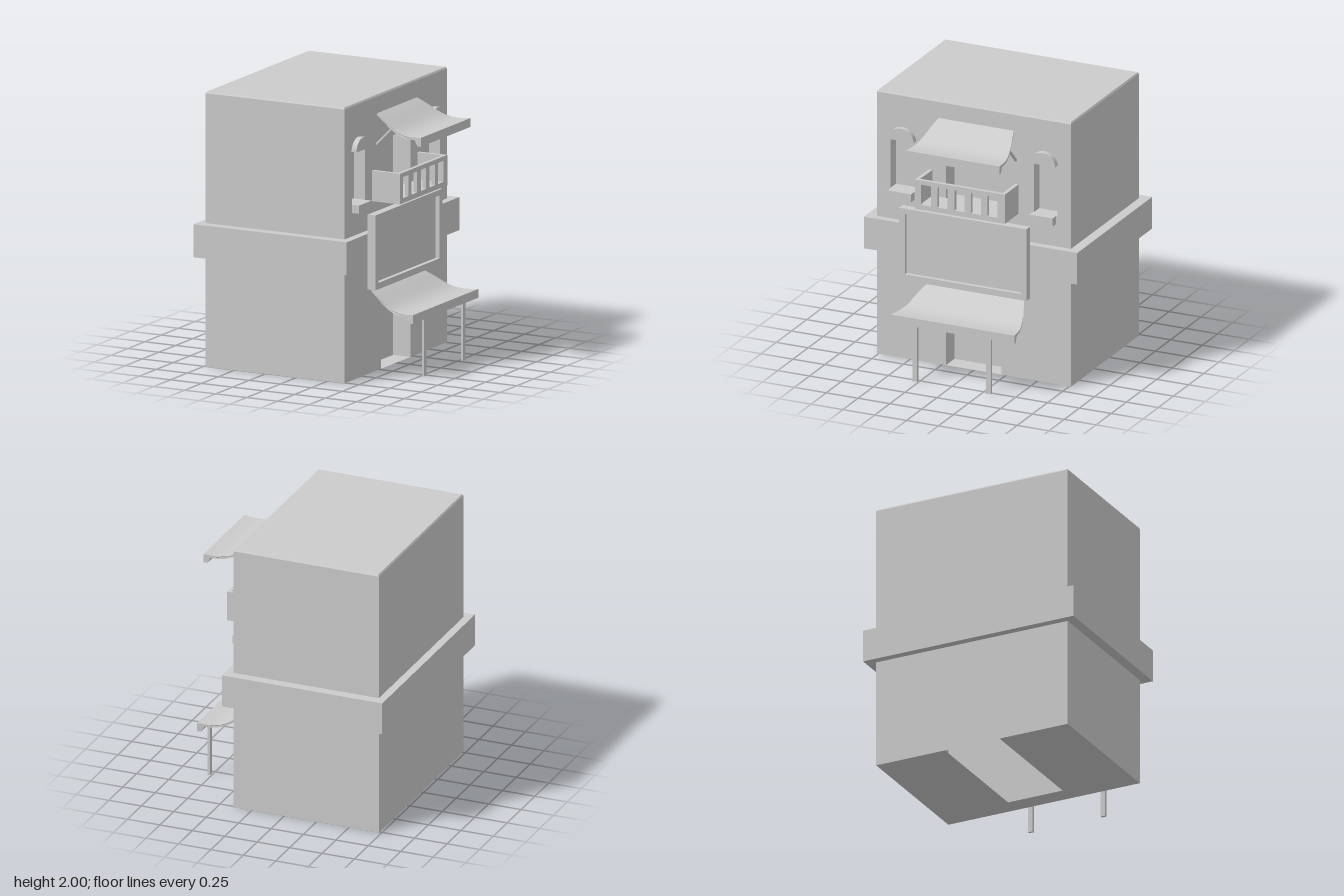
import * as THREE from 'three';
import { toCreasedNormals } from 'three/addons/utils/BufferGeometryUtils.js';

const X0 = -0.73, X1 = 0.39, HZ = 0.763, TOP = 1.988; // house extents
const grey = new THREE.MeshStandardMaterial({ color: 0xcccccc, side: THREE.DoubleSide });

function add(parent, name, geo) {
  const mesh = new THREE.Mesh(geo, grey);
  mesh.name = name;
  parent.add(mesh);
  return mesh;
}

// Box given by its limits on each axis
function box(parent, name, x0, x1, y0, y1, z0, z1) {
  const mesh = add(parent, name, new THREE.BoxGeometry(x1 - x0, y1 - y0, z1 - z0));
  mesh.position.set((x0 + x1) / 2, (y0 + y1) / 2, (z0 + z1) / 2);
  return mesh;
}

// Closed rectangle as a path
function rect(path, x0, x1, y0, y1) {
  path.moveTo(x0, y0);
  path.lineTo(x1, y0);
  path.lineTo(x1, y1);
  path.lineTo(x0, y1);
  path.closePath();
  return path;
}

// Niche behind the facade: a box without its front
function recess(parent, name, depth, y0, y1, z0, z1) {
  const mesh = box(parent, name, X1 - depth, X1, y0, y1, z0, z1);
  mesh.geometry.setIndex(Array.from(mesh.geometry.index.array).slice(6));
  mesh.geometry.clearGroups();
}

// Panel facing +x with rectangular holes; limits are [z0, z1, y0, y1]
function panel(parent, name, x0, x1, outer, holes) {
  const shape = rect(new THREE.Shape(), -outer[1], -outer[0], outer[2], outer[3]);
  for (const h of holes) shape.holes.push(rect(new THREE.Path(), -h[1], -h[0], h[2], h[3]));
  const geo = new THREE.ExtrudeGeometry(shape, { depth: x1 - x0, bevelEnabled: false });
  geo.rotateY(Math.PI / 2);
  add(parent, name, geo).position.x = x0;
}

// Sagging canopy with a front lip, flaring outward; widths are [x, half width]
function canopy(parent, name, y, widths) {
  const curve = new THREE.SplineCurve([
    [0.39, 0], [0.45, -0.034], [0.51, -0.072], [0.57, -0.105], [0.63, -0.124], [0.7, -0.129], [0.782, -0.124],
  ].map(p => new THREE.Vector2(...p)));
  const top = curve.getPoints(18);
  const shape = new THREE.Shape(top);
  shape.lineTo(0.782, -0.188);
  shape.lineTo(0.752, -0.188);
  for (const p of top.slice().reverse()) {
    if (p.x < 0.752) shape.lineTo(p.x, p.y - 0.018);
  }
  const geo = new THREE.ExtrudeGeometry(shape, { depth: 2, bevelEnabled: false });
  const pos = geo.attributes.position;
  for (let i = 0; i < pos.count; i++) {
    const x = pos.getX(i);
    let k = 0;
    while (k < widths.length - 2 && x > widths[k + 1][0]) k++;
    const [xa, wa] = widths[k], [xb, wb] = widths[k + 1];
    const w = THREE.MathUtils.mapLinear(x, xa, xb, wa, wb);
    pos.setZ(i, (pos.getZ(i) - 1) * w - 0.017);
  }
  add(parent, name, toCreasedNormals(geo, 0.5)).position.y = y;
}

function buildHouse(parent) {
  const house = new THREE.Group();
  house.name = 'house';
  parent.add(house);

  // Facade with doorway, balcony door and two windows
  const facade = new THREE.Shape();
  [[-HZ, 0], [-0.22, 0], [-0.22, 0.415], [0.215, 0.415], [0.215, 0], [HZ, 0], [HZ, TOP], [-HZ, TOP]]
    .forEach(([u, y], i) => (i ? facade.lineTo(u, y) : facade.moveTo(u, y)));
  const openings = [[-0.215, 0.22, 1.25, 1.66], [0.46, 0.655, 1.275, 1.66], [-0.655, -0.47, 1.275, 1.66]];
  for (const [z0, z1, y0, y1] of openings) facade.holes.push(rect(new THREE.Path(), -z1, -z0, y0, y1));
  const front = add(house, 'facade', new THREE.ShapeGeometry(facade));
  front.rotation.y = Math.PI / 2;
  front.position.x = X1;
  recess(house, 'doorway', 0.14, 0, 0.415, -0.215, 0.22);
  openings.forEach(([z0, z1, y0, y1], i) =>
    recess(house, i ? 'windowNiche' : 'balconyDoorway', i ? 0.09 : 0.14, y0, y1, z0, z1));

  // Plain walls
  const cx = (X0 + X1) / 2, w = X1 - X0;
  const back = add(house, 'backWall', new THREE.PlaneGeometry(HZ * 2, TOP));
  back.rotation.y = -Math.PI / 2;
  back.position.set(X0, TOP / 2, 0);
  for (const s of [-1, 1]) {
    const side = add(house, 'sideWall', new THREE.PlaneGeometry(w, TOP));
    side.rotation.y = s > 0 ? 0 : Math.PI;
    side.position.set(cx, TOP / 2, s * HZ);
  }

  // Underside, open behind the doorway
  for (const [z0, z1] of [[0.22, HZ], [-HZ, -0.215]]) {
    const base = add(house, 'underside', new THREE.PlaneGeometry(w, z1 - z0));
    base.rotation.x = Math.PI / 2;
    base.position.set(cx, 0, (z0 + z1) / 2);
  }

  // Roof slab with a small chamfer
  const roof = box(house, 'roof', X0, X1, TOP, 2, -HZ, HZ);
  const pos = roof.geometry.attributes.position;
  for (let i = 0; i < pos.count; i++) {
    if (pos.getY(i) > 0) {
      pos.setX(i, pos.getX(i) - Math.sign(pos.getX(i)) * 0.008);
      pos.setZ(i, pos.getZ(i) - Math.sign(pos.getZ(i)) * 0.008);
    }
  }
  roof.geometry.computeVertexNormals();
}

export function createModel() {
  const model = new THREE.Group();
  model.name = 'shopHouse';
  buildHouse(model);

  // Band around the middle
  const ring = rect(new THREE.Shape(), -0.788, 0.447, -0.838, 0.838);
  ring.holes.push(rect(new THREE.Path(), X0, X1, -HZ, HZ));
  const bandGeo = new THREE.ExtrudeGeometry(ring, { depth: 0.24, bevelEnabled: false });
  bandGeo.rotateX(-Math.PI / 2);
  add(model, 'band', bandGeo).position.y = 0.805;

  // Framed sign board
  panel(model, 'signFrame', 0.45, 0.512, [-0.47, 0.53, 0.642, 1.186], [[-0.425, 0.485, 0.688, 1.146]]);
  box(model, 'signBoard', 0.45, 0.48, 0.688, 1.146, -0.425, 0.485);

  // Balcony with a slotted front
  const slots = [0.27, 0.14, 0.005, -0.123, -0.253].map(z => [z - 0.04, z + 0.04, 1.28, 1.433]);
  panel(model, 'balconyFront', 0.587, 0.615, [-0.35, 0.355, 1.243, 1.465], slots);
  box(model, 'balconyFloor', X1, 0.587, 1.243, 1.27, -0.35, 0.355);
  box(model, 'balconySide', X1, 0.587, 1.27, 1.465, 0.327, 0.355);
  box(model, 'balconySide', X1, 0.587, 1.27, 1.465, -0.35, -0.322);

  // Window sills and arched hoods
  for (const z of [0.557, -0.555]) {
    box(model, 'windowSill', X1, 0.447, 1.215, 1.275, z - 0.09, z + 0.095);
    const arch = new THREE.Shape();
    arch.absellipse(0, 0, 0.102, 0.092, 0, Math.PI);
    arch.closePath();
    const geo = new THREE.ExtrudeGeometry(arch, { depth: 0.04, bevelEnabled: false, curveSegments: 16 });
    geo.rotateY(Math.PI / 2);
    add(model, 'windowHood', toCreasedNormals(geo, 0.6)).position.set(X1, 1.66, z);
  }

  // Canopies over the balcony and the door
  canopy(model, 'balconyCanopy', 1.867, [[0.39, 0.295], [0.5, 0.328], [0.62, 0.355], [0.782, 0.37]]);
  canopy(model, 'doorCanopy', 0.603, [[0.39, 0.378], [0.5, 0.425], [0.64, 0.466], [0.782, 0.489]]);

  // Slanted struts and upright posts
  for (const z of [0.29, -0.33]) {
    const strut = add(model, 'canopyStrut', new THREE.BoxGeometry(0.178, 0.014, 0.014));
    strut.position.set(0.452, 1.707, z);
    strut.rotation.z = Math.PI / 4;
  }
  for (const z of [0.278, -0.3]) box(model, 'canopyPost', 0.761, 0.779, 0, 0.42, z - 0.018, z + 0.018);

  return model;
}
